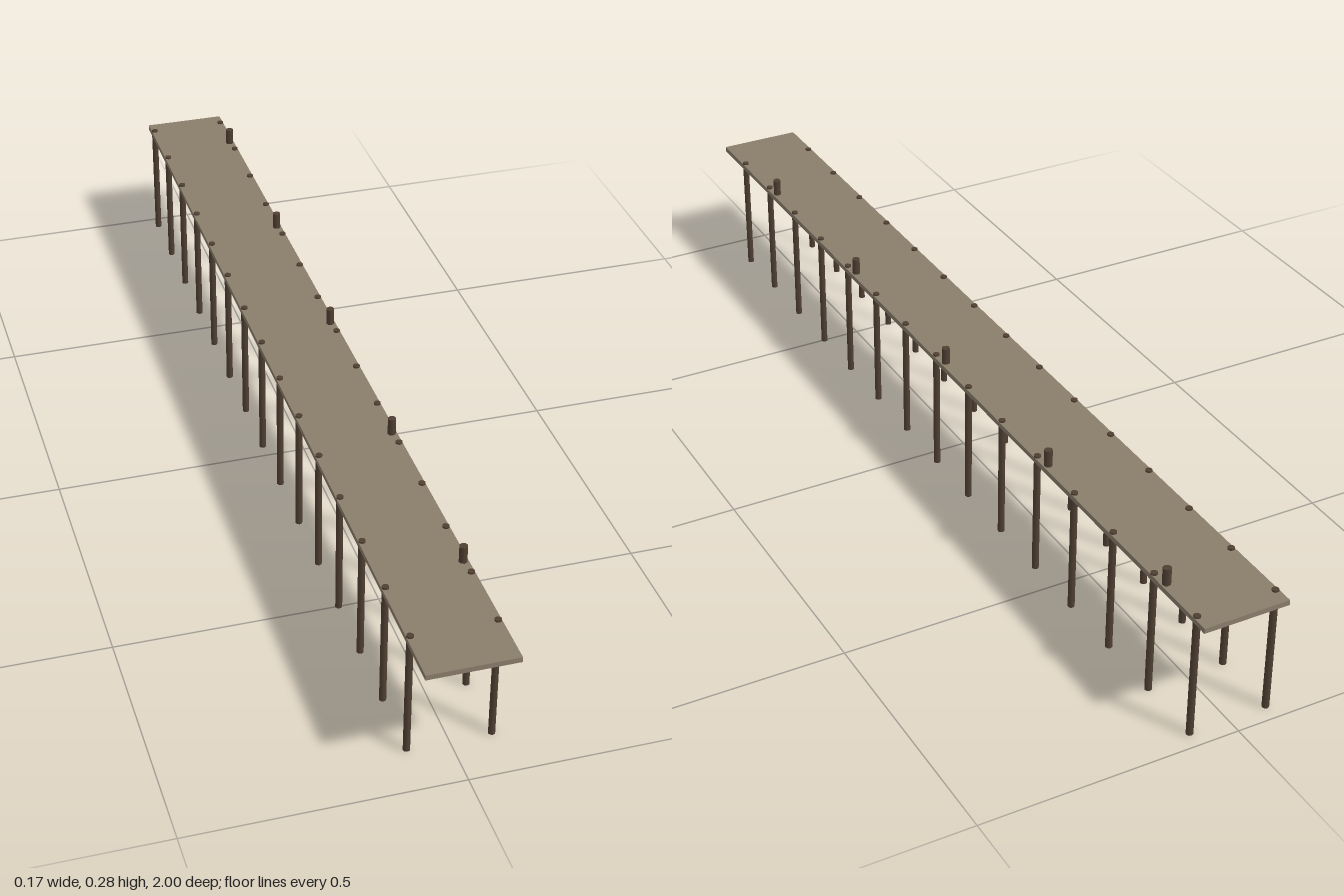
import * as THREE from 'three';

export function createModel() {
  const pier = new THREE.Group();
  pier.name = 'pier';

  const deckWood = new THREE.MeshStandardMaterial({ color: 0x8a7d6b });
  deckWood.name = 'weathered deck wood';
  const darkWood = new THREE.MeshStandardMaterial({ color: 0x4f3f32 });
  darkWood.name = 'dark post wood';

  const add = (name, geometry, material, x, y, z) => {
    const mesh = new THREE.Mesh(geometry, material);
    mesh.name = name;
    mesh.position.set(x, y, z);
    pier.add(mesh);
  };

  // Long flat walkway
  add('deck', new THREE.BoxGeometry(0.1667, 0.01, 2), deckWood, 0, 0.2417, 0);

  // Fifteen pairs of piles whose heads just break the deck surface
  const pileHeight = 0.25;
  const pile = new THREE.CylinderGeometry(0.0067, 0.0067, pileHeight, 8);
  for (let i = 0; i < 15; i++) {
    const z = 0.9 - i * (2 / 15);
    add('leftPile', pile, darkWood, 0.0767, pileHeight / 2, z);
    add('rightPile', pile, darkWood, -0.0767, pileHeight / 2, z);
  }

  // Mooring bollards along the left edge
  const bollard = new THREE.CylinderGeometry(0.008, 0.008, 0.0333, 8);
  for (let i = 0; i < 5; i++) {
    add('bollard', bollard, darkWood, 0.0733, 0.2633, 0.7333 - i * 0.4);
  }

  return pier;
}
